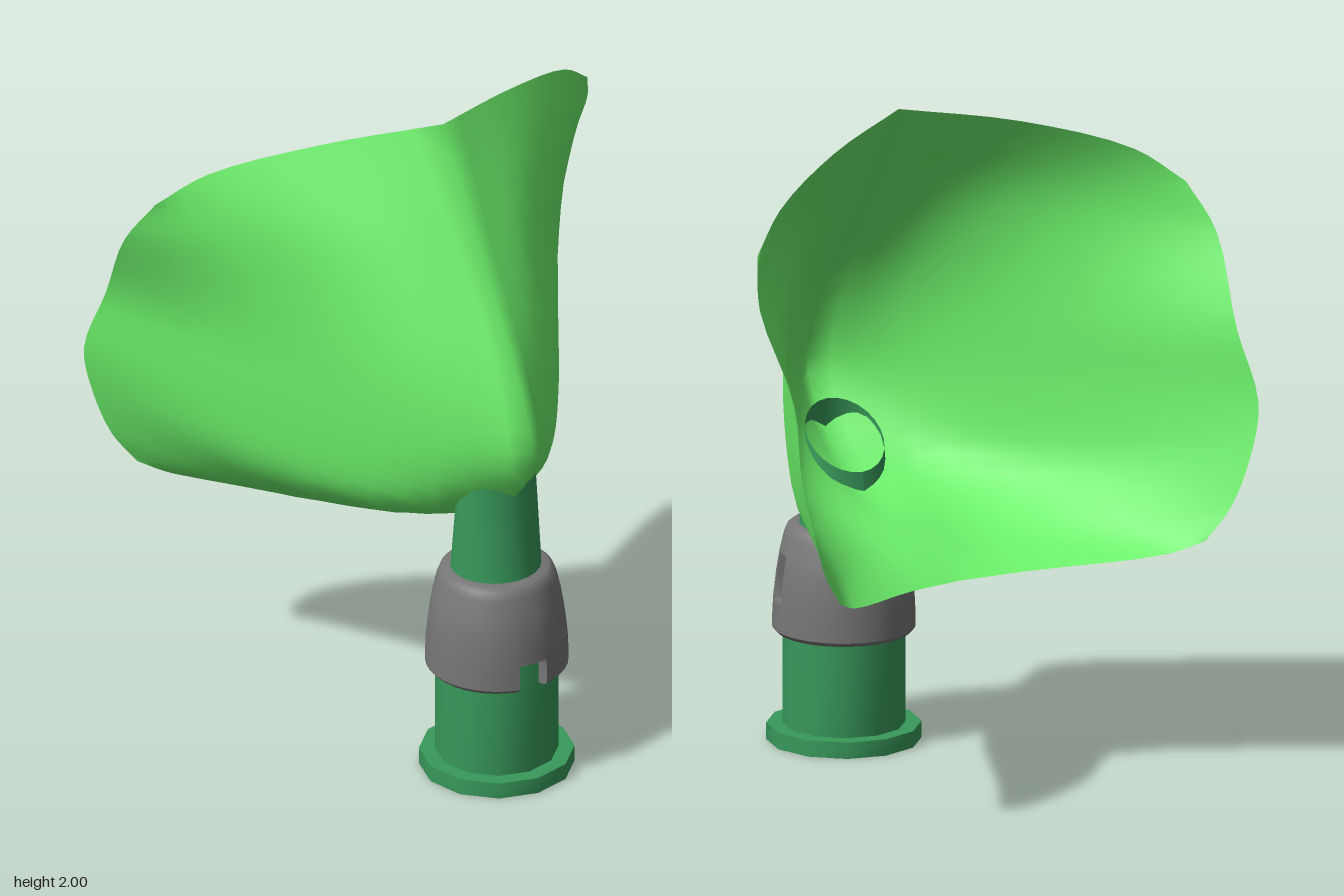
import * as THREE from 'three';
import { toCreasedNormals } from 'three/addons/utils/BufferGeometryUtils.js';

const AXIS_Z = 0.4; // the fitting stands towards the front
const rad = THREE.MathUtils.degToRad;

// Surface over a grid of parameters; outside is where u runs right and v runs up
function grid(us, vs, fn) {
  const pos = [], idx = [], n = us.length;
  vs.forEach((v) => us.forEach((u) => pos.push(...fn(u, v))));
  for (let j = 0; j < vs.length - 1; j++) {
    for (let i = 0; i < n - 1; i++) {
      const a = j * n + i;
      idx.push(a, a + 1, a + n, a + 1, a + n + 1, a + n);
    }
  }
  const g = new THREE.BufferGeometry();
  g.setAttribute('position', new THREE.Float32BufferAttribute(pos, 3));
  g.setIndex(idx);
  g.computeVertexNormals();
  return g;
}

const range = (a, b, n) => Array.from({ length: n + 1 }, (_, i) => a + ((b - a) * i) / n);

function mesh(name, geometry, color, side = THREE.FrontSide) {
  const m = new THREE.Mesh(geometry, new THREE.MeshStandardMaterial({ color, side }));
  m.name = name;
  return m;
}

// Fan of spray: cross-sections from the bottom edge to the top, centre line to side edge
function sprayGeometry() {
  const rows = [
    [[0, 0.635, -0.24], [0.2, 0.645, -0.29], [0.55, 0.70, -0.52], [0.64, 0.74, -0.58]],
    [[0, 0.735, 0.05], [0.2, 0.72, -0.02], [0.44, 0.76, -0.24], [0.71, 0.84, -0.61]],
    [[0, 0.80, 0.33], [0.2, 0.86, 0.30], [0.42, 0.89, 0.01], [0.765, 0.99, -0.63]],
    [[0, 1.07, 0.595], [0.2, 1.05, 0.40], [0.42, 1.08, 0.06], [0.8, 1.15, -0.62]],
    [[0, 1.30, 0.54], [0.2, 1.31, 0.38], [0.43, 1.33, 0.05], [0.775, 1.36, -0.54]],
    [[0, 1.65, 0.32], [0.22, 1.65, 0.21], [0.47, 1.64, -0.02], [0.8, 1.62, -0.39]],
    [[0, 2.0, 0.10], [0.33, 1.95, -0.06], [0.62, 1.86, -0.22], [0.75, 1.76, -0.30]],
  ].map((row) => new THREE.CatmullRomCurve3(row.map((p) => new THREE.Vector3(...p))));
  const columns = new Map(range(0, 12, 12).map((k) =>
    [k, new THREE.CatmullRomCurve3(rows.map((c) => c.getPoint(k / 12)))]));
  return grid(range(-12, 12, 24), range(0, 1, 24), (u, v) => {
    const p = columns.get(Math.abs(u)).getPoint(v);
    return [Math.sign(u) * p.x, p.y, p.z];
  });
}

// Coupling collar with a notch at the front and a recessed slot on the left
function collarGeometry() {
  const profile = [
    [0.15, 0.335], [0.2, 0.335], [0.212, 0.348], [0.212, 0.38], [0.21, 0.42], [0.21, 0.424],
    [0.209, 0.437], [0.209, 0.44], [0.2, 0.52], [0.191, 0.575], [0.19, 0.578],
    [0.178, 0.63], [0.168, 0.655], [0.155, 0.665], [0.12, 0.665],
  ];
  const cuts = [
    { a0: -12.5, a1: 12.5, y0: 0.3, y1: 0.421, floor: 0.16 },
    { a0: 67, a1: 84, y0: 0.439, y1: 0.576, floor: 0.172 },
  ];
  const angles = range(-180, 180, 36);
  cuts.forEach(({ a0, a1 }) => angles.push(a0 - 0.3, a0 + 0.3, a1 - 0.3, a1 + 0.3));
  angles.sort((a, b) => a - b);
  const g = grid(angles, profile, (a, [r0, y]) => {
    const cut = cuts.find((c) => a > c.a0 && a < c.a1 && y > c.y0 && y < c.y1);
    const r = cut ? Math.min(r0, cut.floor) : r0;
    return [r * Math.sin(rad(a)), y, r * Math.cos(rad(a)) + AXIS_Z];
  });
  return toCreasedNormals(g, rad(40));
}

// Leaning spout, narrowing in depth and cut at a slant so that it opens to the back
function spoutGeometry() {
  return grid(range(-180, 180, 24), range(0, 1, 4), (a, t) => {
    const s = Math.sin(rad(a)), c = Math.cos(rad(a));
    const rx = THREE.MathUtils.lerp(0.138, 0.125, t);
    const rz = THREE.MathUtils.lerp(0.135, 0.097, t);
    return [rx * s, 0.62 + t * (0.31 + 0.09 * c), AXIS_Z - 0.005 + rz * c];
  });
}

function drum(name, r, y0, y1) {
  const g = new THREE.CylinderGeometry(r, r, y1 - y0, 12);
  const m = mesh(name, toCreasedNormals(g, rad(40)), 0x38995a);
  m.position.set(0, (y0 + y1) / 2, AXIS_Z);
  return m;
}

export function createModel() {
  const group = new THREE.Group();
  group.name = 'sprayNozzle';
  group.add(
    drum('baseFlange', 0.23, 0, 0.05),
    drum('body', 0.182, 0.05, 0.5),
    mesh('collar', collarGeometry(), 0x777777),
    mesh('spout', spoutGeometry(), 0x38995a, THREE.DoubleSide),
    mesh('sprayFan', sprayGeometry(), 0x6cf06a, THREE.DoubleSide),
  );
  return group;
}
